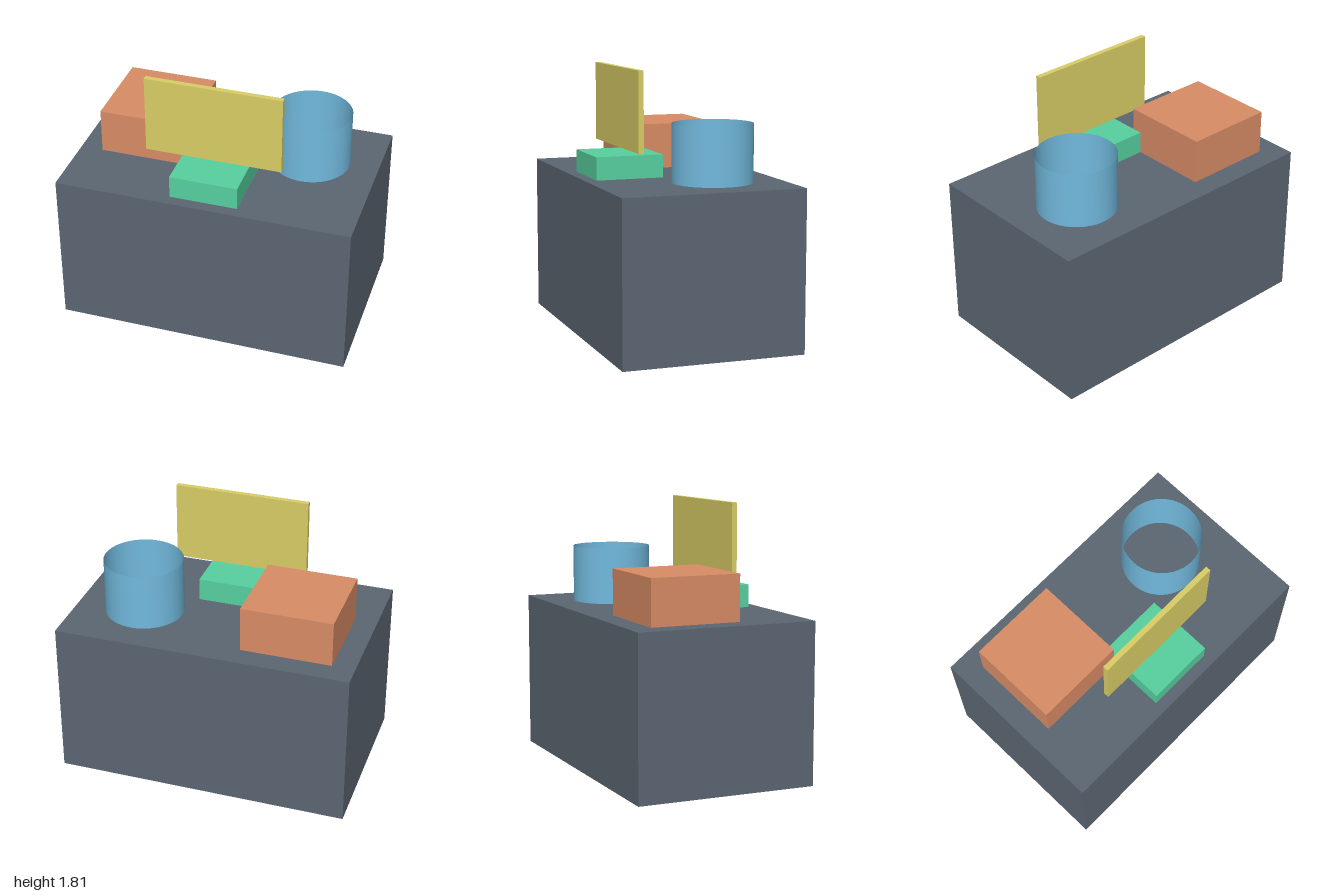
import * as THREE from 'three';

function addPart(group, name, geometry, color, x, y, z, side = THREE.FrontSide) {
  const mesh = new THREE.Mesh(geometry, new THREE.MeshStandardMaterial({ color, side }));
  mesh.name = name;
  mesh.position.set(x, y, z);
  group.add(mesh);
}

export function createModel() {
  const group = new THREE.Group();
  group.name = 'blocksOnPlinth';
  const top = 1.08;

  // A box given by its size, centre and the height of its underside
  const box = (name, color, [w, h, d], x, bottom, z) =>
    addPart(group, name, new THREE.BoxGeometry(w, h, d), color, x, bottom + h / 2, z);

  // Large base block
  box('base', 0x5c6773, [2, top, 1.23], 0, 0, 0);

  // Blocks standing on the base
  box('squareBlock', 0xd98c66, [0.615, 0.308, 0.615], -0.54, top, -0.154);
  box('lowBlock', 0x57d1a0, [0.46, 0.154, 0.46], 0, top, 0.308);

  // Thin upright panel floating above the low block
  box('panel', 0xd9ce66, [0.924, 0.535, 0.036], 0, 1.274, 0.308);

  // Open tube with a thin wall
  const tubeHeight = 0.385;
  addPart(group, 'openTube', new THREE.CylinderGeometry(0.267, 0.267, tubeHeight, 48, 1, true),
    0x72bade, 0.538, top + tubeHeight / 2, -0.154, THREE.DoubleSide);

  return group;
}
